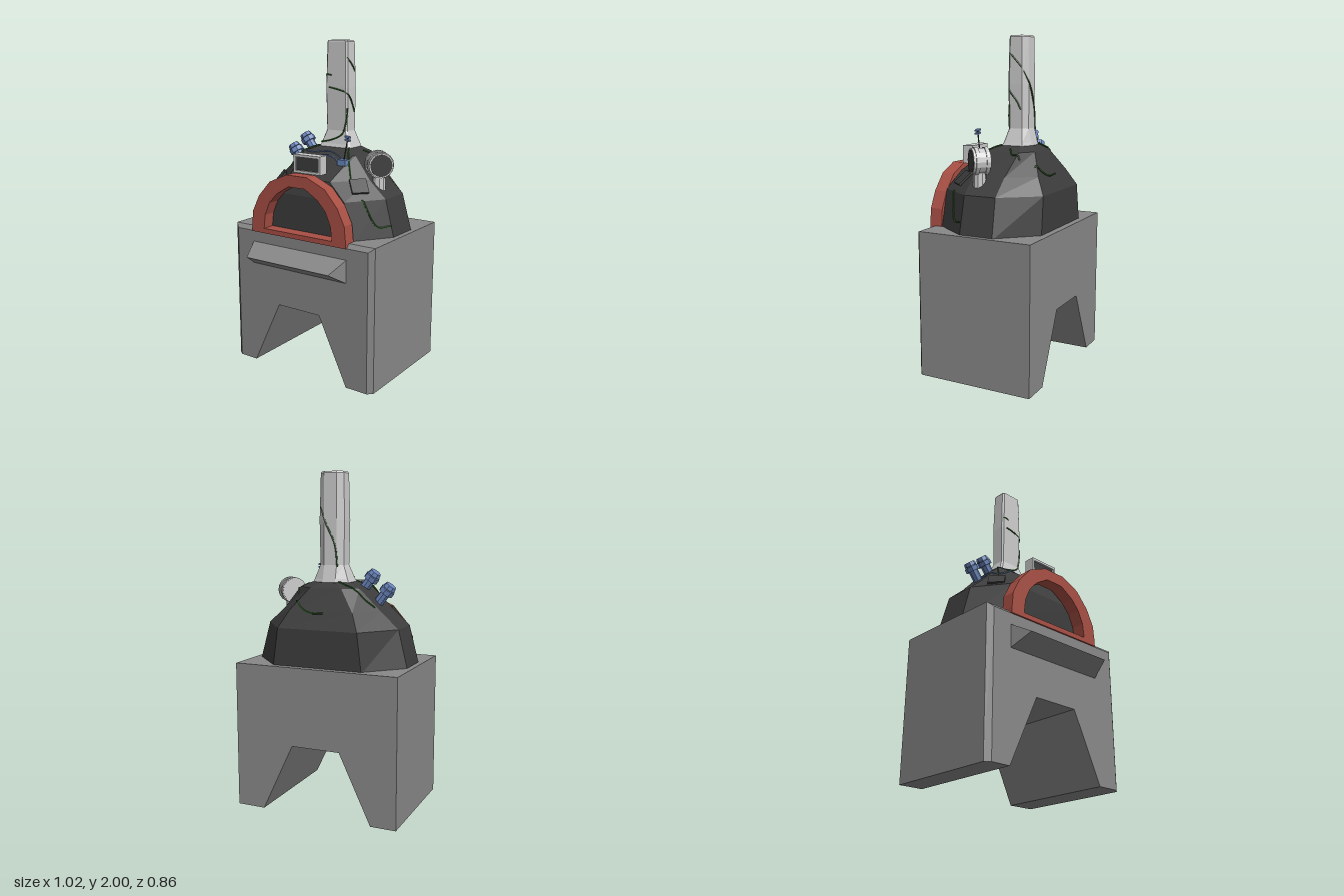
import * as THREE from 'three';
import { ConvexGeometry } from 'three/addons/geometries/ConvexGeometry.js';

const V = (x, y, z) => new THREE.Vector3(x, y, z);
const mat = (color) => new THREE.MeshStandardMaterial({ color, flatShading: true });

// One eight-cornered level: half widths at side, front and back, with their depths
const octagon = (y, hx, zF, zB, wF, wB, sF, sB) => {
  const right = [[wF, zF], [hx, sF], [hx, sB], [wB, zB]];
  const left = right.map(([x, z]) => [-x, z]).reverse();
  return [...right, ...left].map(([x, z]) => V(x, y, z));
};

// Closed solid through a stack of levels
function loft(rings) {
  const pts = [];
  const n = rings[0].length;
  for (let i = 0; i < rings.length - 1; i++) {
    for (let j = 0; j < n; j++) {
      const k = (j + 1) % n;
      const [a, b, c, d] = [rings[i][j], rings[i][k], rings[i + 1][k], rings[i + 1][j]];
      pts.push(a, b, c, a, c, d);
    }
  }
  const bottom = rings[0], top = rings[rings.length - 1];
  for (let j = 1; j < n - 1; j++) {
    pts.push(top[0], top[j], top[j + 1], bottom[0], bottom[j + 1], bottom[j]);
  }
  const geo = new THREE.BufferGeometry().setFromPoints(pts);
  geo.computeVertexNormals();
  return geo;
}

const polygon = (pts) => new THREE.Shape(pts.map(([x, y]) => new THREE.Vector2(x, y)));

export function createModel() {
  const root = new THREE.Group();
  const stone = mat(0x888888), dark = mat(0x3c3c3c), light = mat(0xcccccc);
  const brick = mat(0xa84f44), blue = mat(0x6b86bd), green = mat(0x2c5a24);

  const add = (name, geo, material, x = 0, y = 0, z = 0, parent = root) => {
    const mesh = new THREE.Mesh(geo, material);
    mesh.name = name;
    mesh.position.set(x, y, z);
    parent.add(mesh);
    return mesh;
  };
  const tube = (name, pts, radius, material) =>
    add(name, new THREE.TubeGeometry(new THREE.CatmullRomCurve3(pts), pts.length * 4, radius, 5), material);

  // Stand with a tapered passage and bevelled front edges
  const standGeo = new THREE.ExtrudeGeometry(polygon([
    [-0.51, 0], [-0.355, 0], [-0.16, 0.41], [0.14, 0.41], [0.335, 0], [0.51, 0], [0.51, 0.88], [-0.51, 0.88],
  ]), { depth: 2, steps: 2, bevelEnabled: false });
  const p = standGeo.attributes.position;
  for (let i = 0; i < p.count; i++) {
    const level = Math.round(p.getZ(i));
    if (level === 2) {
      if (Math.abs(p.getX(i)) > 0.5) p.setX(i, Math.sign(p.getX(i)) * 0.478);
      if (p.getY(i) > 0.8) p.setY(i, 0.855);
    }
    p.setZ(i, [-0.43, 0.285, 0.31][level]);
  }
  standGeo.computeVertexNormals();
  add('stand', standGeo, stone);

  // Wedge shelf below the mouth
  add('shelf', new ConvexGeometry([
    V(-0.355, 0.645, 0.305), V(0.335, 0.645, 0.305), V(-0.355, 0.79, 0.305),
    V(0.335, 0.79, 0.305), V(-0.31, 0.72, 0.43), V(0.29, 0.72, 0.43),
  ]), stone);

  // Faceted oven dome
  const dome = add('dome', loft([
    octagon(0.87, 0.48, 0.24, -0.39, 0.33, 0.28, 0.03, -0.18),
    octagon(1.1, 0.42, 0.24, -0.385, 0.27, 0.25, 0.03, -0.17),
    octagon(1.2, 0.31, 0.21, -0.33, 0.15, 0.2, 0.03, -0.17),
    octagon(1.33, 0.19, 0.02, -0.26, 0.18, 0.1, 0.0, -0.2),
    octagon(1.36, 0.12, -0.04, -0.22, 0.1, 0.05, -0.06, -0.18),
  ]), dark);

  // Flared chimney
  add('chimney', loft([
    octagon(1.32, 0.13, -0.03, -0.225, 0.12, 0.04, -0.05, -0.19),
    octagon(1.38, 0.105, -0.055, -0.21, 0.095, 0.04, -0.07, -0.18),
    octagon(1.46, 0.075, -0.075, -0.19, 0.066, 0.04, -0.085, -0.165),
    octagon(1.72, 0.08, -0.07, -0.19, 0.07, 0.04, -0.082, -0.165),
    octagon(1.99, 0.073, -0.075, -0.187, 0.062, 0.04, -0.085, -0.16),
    octagon(2.0, 0.066, -0.08, -0.18, 0.057, 0.036, -0.09, -0.155),
  ]), light);

  // Brick arch: nine wedge bricks between an outer and an inner line, and a sill
  const half = (pts) => [...pts, ...pts.map(([x, y]) => [-x, y]).reverse()];
  const outer = half([[0.345, 0.885], [0.335, 0.985], [0.285, 1.085], [0.2, 1.18], [0.075, 1.235]]);
  const inner = half([[0.25, 0.885], [0.24, 0.97], [0.205, 1.05], [0.15, 1.11], [0.06, 1.165]]);
  const arch = new THREE.Group();
  arch.name = 'brickArch';
  arch.position.set(-0.01, 0, 0.24);
  root.add(arch);
  for (let i = 0; i < 9; i++) {
    const shape = polygon([outer[i], outer[i + 1], inner[i + 1], inner[i]]);
    add('archBrick', new THREE.ExtrudeGeometry(shape, { depth: 0.08, bevelEnabled: false }), brick, 0, 0, 0, arch);
  }
  add('sill', new THREE.BoxGeometry(0.69, 0.03, 0.08), brick, 0, 0.87, 0.04, arch);

  // Framed display box above the arch
  const frame = polygon([[-0.097, -0.055], [0.097, -0.055], [0.097, 0.055], [-0.097, 0.055]]);
  frame.holes.push(polygon([[-0.082, -0.04], [-0.082, 0.04], [0.082, 0.04], [0.082, -0.04]]));
  add('displayFrame', new THREE.ExtrudeGeometry(frame, { depth: 0.015, bevelEnabled: false }), light, -0.003, 1.29, 0.215);
  add('displayBody', new THREE.BoxGeometry(0.194, 0.11, 0.05), light, -0.003, 1.29, 0.19);
  add('displayScreen', new THREE.BoxGeometry(0.164, 0.08, 0.004), dark, -0.003, 1.29, 0.217);

  // Round gauge on a short post, facing diagonally outward
  add('gaugePost', new THREE.CylinderGeometry(0.036, 0.04, 0.14, 10), light, 0.34, 1.2, -0.025);
  const gauge = new THREE.Group();
  gauge.name = 'gauge';
  gauge.position.set(0.34, 1.29, -0.025);
  gauge.rotation.set(Math.PI / 2, 0, -Math.PI / 4);
  root.add(gauge);
  add('gaugeDrum', new THREE.CylinderGeometry(0.074, 0.074, 0.1, 16), light, 0, 0, 0, gauge);
  for (const y of [-0.035, 0.025]) {
    add('gaugeBand', new THREE.CylinderGeometry(0.08, 0.08, 0.022, 16), light, 0, y, 0, gauge);
  }
  add('gaugeFace', new THREE.CylinderGeometry(0.066, 0.066, 0.004, 16), dark, 0, 0.05, 0, gauge);

  // Two tilted vent pipes with collars
  for (const [x, y] of [[-0.285, 1.27], [-0.19, 1.345]]) {
    const pipe = new THREE.Group();
    pipe.name = 'ventPipe';
    pipe.position.set(x, y, -0.085);
    pipe.rotation.z = 0.66;
    root.add(pipe);
    add('pipe', new THREE.CylinderGeometry(0.03, 0.03, 0.2, 8), blue, 0, -0.02, 0, pipe);
    add('pipeCollar', new THREE.CylinderGeometry(0.045, 0.045, 0.03, 8), blue, 0, 0.05, 0, pipe);
    add('pipeCap', new THREE.CylinderGeometry(0.034, 0.04, 0.025, 8), blue, 0, 0.082, 0, pipe);
  }

  // Sensor box with an antenna
  add('sensorBox', new THREE.BoxGeometry(0.055, 0.035, 0.045), blue, 0.152, 1.297, 0.075);
  tube('antenna', [V(0.155, 1.3, 0.075), V(0.17, 1.375, 0.075), V(0.185, 1.45, 0.075)], 0.004, dark);
  for (const y of [1.432, 1.45]) {
    add('antennaHead', new THREE.BoxGeometry(0.03, 0.01, 0.026), blue, 0.183, y, 0.075).rotation.z = -0.2;
  }

  // Drop a point onto the dome
  dome.updateMatrixWorld();
  const ray = new THREE.Raycaster();
  const drop = (x, z) => {
    ray.set(V(x, 3, z), V(0, -1, 0));
    return ray.intersectObject(dome)[0];
  };
  const drape = (name, path, radius, material) => {
    const plan = new THREE.CatmullRomCurve3(path.map(([x, z]) => V(x, 0, z))).getPoints(20);
    const pts = plan.map((q) => drop(q.x, q.z)).filter(Boolean);
    tube(name, pts.map((h) => h.point.addScaledVector(h.face.normal, radius * 0.7)), radius, material);
  };

  // Cables from the pipes to the sensor
  drape('cable', [[-0.27, -0.05], [-0.235, 0.06], [-0.16, 0.1], [-0.06, 0.05], [0.03, 0.035], [0.13, 0.08]], 0.004, blue);
  drape('cable', [[-0.18, -0.05], [-0.17, 0.01], [-0.1, 0.02], [0, 0], [0.09, 0.03], [0.14, 0.06]], 0.004, blue);

  // Vines over the dome
  for (const path of [
    [[-0.28, -0.19], [-0.21, -0.22], [-0.1, -0.215], [-0.02, -0.19]],
    [[-0.02, -0.335], [0.07, -0.335], [0.14, -0.315], [0.17, -0.29]],
    [[-0.24, 0.08], [-0.18, 0], [-0.13, -0.05], [-0.03, -0.06]],
    [[0.11, -0.05], [0.16, 0.03], [0.22, 0.1], [0.27, 0.15]],
    [[0.2, -0.21], [0.2, -0.16], [0.16, -0.13]],
    [[0.46, 0.03], [0.4, 0.11], [0.33, 0.15]],
  ]) drape('domeVine', path, 0.005, green);

  // Vines around the chimney
  for (const path of [
    [[-0.05, 1.72, -0.069], [0.03, 1.705, -0.069], [0.079, 1.685, -0.08], [0.08, 1.62, -0.13], [0.076, 1.57, -0.155]],
    [[0.07, 1.9, -0.079], [0.078, 1.86, -0.12], [0.075, 1.82, -0.155], [0.035, 1.72, -0.192], [-0.03, 1.58, -0.192], [-0.045, 1.45, -0.192]],
    [[-0.075, 1.79, -0.078], [-0.06, 1.795, -0.071], [-0.03, 1.79, -0.071]],
    [[0.078, 1.6, -0.08], [0.07, 1.51, -0.075], [0.045, 1.44, -0.07], [-0.02, 1.405, -0.06], [-0.1, 1.385, -0.058]],
  ]) tube('chimneyVine', path.map((q) => V(...q)), 0.005, green);

  // Flat panels lying on the dome shoulders
  for (const s of [-1, 1]) {
    const hit = drop(s * 0.285, 0.11);
    const panel = add('shoulderPanel', new THREE.BoxGeometry(0.1, 0.1, 0.014), dark);
    panel.position.copy(hit.point).addScaledVector(hit.face.normal, 0.01);
    panel.lookAt(hit.point.clone().add(hit.face.normal));
  }
  return root;
}
